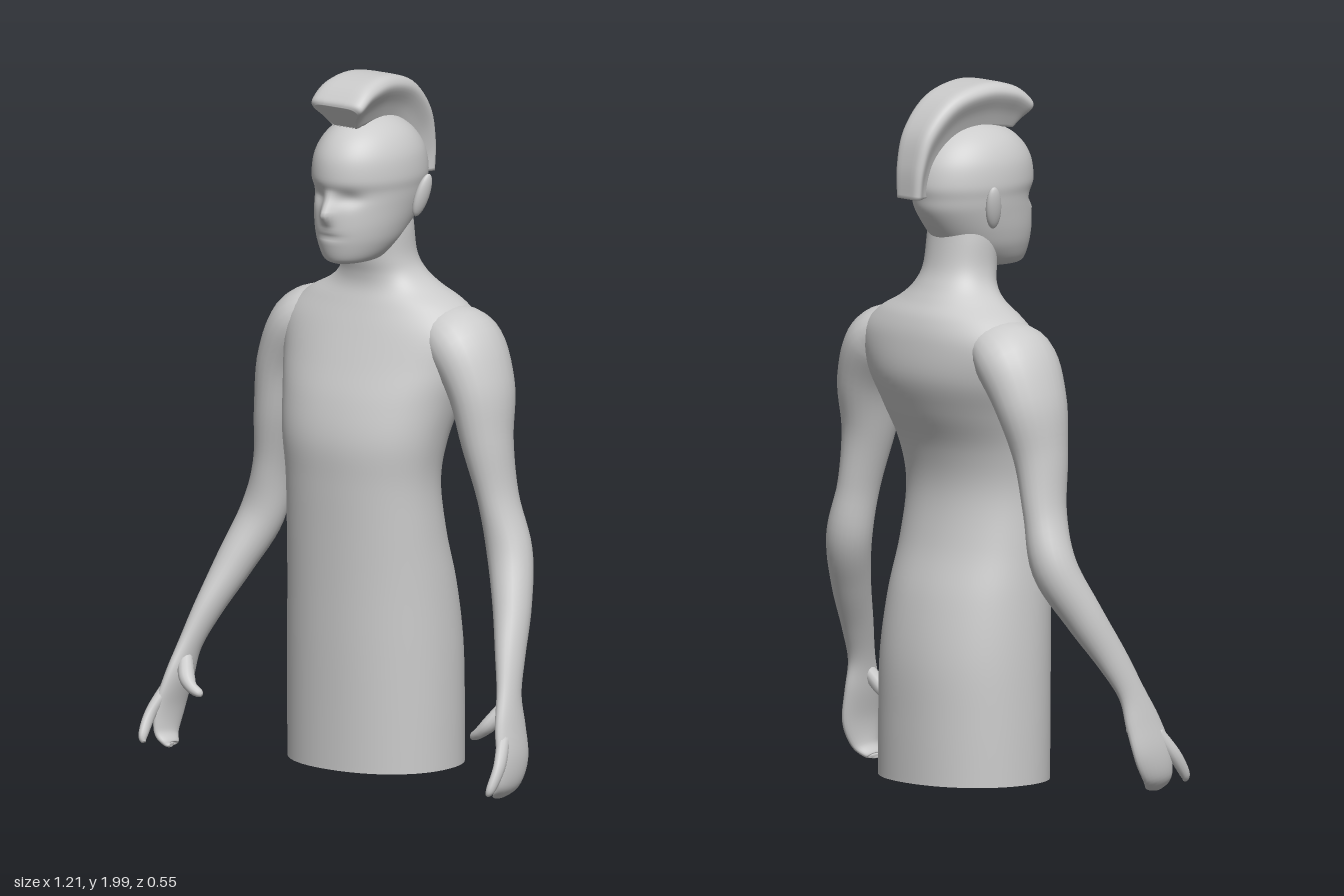
import * as THREE from 'three';

const mat = new THREE.MeshStandardMaterial({ color: 0xcccccc, side: THREE.DoubleSide });
const V = (x, y, z) => new THREE.Vector3(x, y, z);

// Catmull-Rom interpolation of rows of numbers
function refine(rows, n) {
  const out = [];
  const at = i => rows[Math.max(0, Math.min(rows.length - 1, i))];
  for (let i = 0; i < rows.length - 1; i++)
    for (let k = 0; k < n; k++) {
      const t = k / n;
      out.push(rows[i].map((b, c) => {
        const a = at(i - 1)[c], d = at(i + 1)[c], e = at(i + 2)[c];
        return b + 0.5 * t * (d - a + t * (2 * a - 5 * b + 4 * d - e + t * (3 * (b - d) + e - a)));
      }));
    }
  out.push(rows[rows.length - 1]);
  return out;
}

// Skin over closed rings, with optional caps at start and end
function loft(name, rings, capStart, capEnd) {
  const pts = rings.flat(), n = rings[0].length, idx = [];
  for (let i = 0; i < rings.length - 1; i++)
    for (let j = 0; j < n; j++) {
      const a = i * n + j, b = i * n + (j + 1) % n, c = a + n, d = b + n;
      idx.push(a, c, b, b, c, d);
    }
  const cap = (r, flip) => {
    const centre = rings[r].reduce((s, p) => s.add(p), V(0, 0, 0)).divideScalar(n);
    const m = pts.push(centre) - 1;
    for (let j = 0; j < n; j++) {
      const a = r * n + j, b = r * n + (j + 1) % n;
      flip ? idx.push(m, a, b) : idx.push(m, b, a);
    }
  };
  if (capStart) cap(0, true);
  if (capEnd) cap(rings.length - 1, false);
  const g = new THREE.BufferGeometry().setFromPoints(pts);
  g.setIndex(idx);
  g.computeVertexNormals();
  const mesh = new THREE.Mesh(g, mat);
  mesh.name = name;
  return mesh;
}

// Horizontal oval rings from rows of [y, half width, front z, back z]
function ovals(rows, seg, steps, power = 1) {
  const p = v => Math.sign(v) * Math.abs(v) ** power;
  return refine(rows, steps).map(([y, w, f, b]) => Array.from({ length: seg }, (_, j) => {
    const t = j / seg * Math.PI * 2;
    return V(w * p(Math.cos(t)), y, (f + b) / 2 + (f - b) / 2 * p(Math.sin(t)));
  }));
}

// Tapering limb along rows of [x, y, z, radius front to back, radius across]
function limb(name, rows, seg = 24) {
  const r = refine(rows, 6);
  const rings = r.map(([x, y, z, ra, rb], i) => {
    const p = r[Math.max(0, i - 1)], q = r[Math.min(r.length - 1, i + 1)];
    const T = V(q[0] - p[0], q[1] - p[1], q[2] - p[2]).normalize();
    const A = V(0, 0, 1).addScaledVector(T, -T.z).normalize();
    const B = T.clone().cross(A);
    return Array.from({ length: seg }, (_, j) => {
      const t = j / seg * Math.PI * 2;
      return V(x, y, z).addScaledVector(B, rb * Math.cos(t)).addScaledVector(A, ra * Math.sin(t));
    });
  });
  return loft(name, rings, true, true);
}

// Arm with hand; reach swings the forearm forward
function arm(side, reach) {
  const g = new THREE.Group();
  g.name = side > 0 ? 'leftArm' : 'rightArm';
  const pose = rows => rows.map(([x, y, z, a, b]) => {
    const k = Math.max(0, Math.min(1, (0.72 - y) / 0.65));
    return [side * x, y + 0.2 * reach * k, z + reach * k, a, b];
  });
  g.add(limb('armAndPalm', pose([
    [0.17, 1.30, -0.11, 0.09, 0.05], [0.27, 1.25, -0.105, 0.128, 0.093],
    [0.34, 1.13, -0.10, 0.115, 0.083], [0.372, 0.98, -0.09, 0.085, 0.067],
    [0.403, 0.82, -0.10, 0.067, 0.053], [0.44, 0.67, -0.105, 0.066, 0.064],
    [0.485, 0.53, -0.06, 0.058, 0.054], [0.522, 0.4, -0.005, 0.049, 0.038],
    [0.546, 0.3, 0.03, 0.044, 0.028], [0.562, 0.21, 0.045, 0.06, 0.026],
    [0.578, 0.12, 0.055, 0.066, 0.022], [0.575, 0.05, 0.07, 0.05, 0.018],
    [0.552, 0.018, 0.08, 0.032, 0.012], [0.545, 0.014, 0.08, 0.012, 0.005]])));
  g.add(limb('indexFinger', pose([
    [0.57, 0.18, 0.085, 0.02, 0.018], [0.588, 0.11, 0.125, 0.02, 0.016],
    [0.585, 0.05, 0.16, 0.015, 0.013], [0.577, 0.03, 0.167, 0.006, 0.006]]), 12));
  g.add(limb('thumb', pose([
    [0.55, 0.27, 0.045, 0.02, 0.02], [0.515, 0.215, 0.075, 0.025, 0.022],
    [0.487, 0.188, 0.085, 0.018, 0.017], [0.46, 0.172, 0.08, 0.014, 0.012],
    [0.451, 0.168, 0.078, 0.005, 0.005]]), 12));
  return g;
}

function head() {
  const rings = ovals([
    [1.472, 0.03, 0.115, 0.01], [1.485, 0.072, 0.142, -0.05], [1.53, 0.103, 0.157, -0.12],
    [1.58, 0.12, 0.163, -0.165], [1.64, 0.132, 0.16, -0.205], [1.68, 0.138, 0.156, -0.216],
    [1.72, 0.143, 0.165, -0.222], [1.78, 0.135, 0.156, -0.208], [1.83, 0.11, 0.123, -0.172],
    [1.865, 0.072, 0.07, -0.12], [1.882, 0.03, 0.0, -0.06], [1.885, 0.005, -0.025, -0.035]], 96, 6);
  const bell = (v, w) => Math.exp(-((v / w) ** 2));
  // Nose ridge, eye hollows and mouth crease
  for (const p of rings.flat()) {
    if (p.z < 0.05) continue;
    const ridge = p.y > 1.62 ? Math.max(0, (1.69 - p.y) / 0.07) : Math.max(0, 1 - (1.62 - p.y) / 0.035);
    p.z += 0.032 * ridge * bell(p.x, 0.02)
      - 0.014 * bell(Math.abs(p.x) - 0.055, 0.035) * bell(p.y - 1.665, 0.022)
      - 0.006 * bell(p.x, 0.04) * bell(p.y - 1.555, 0.008);
  }
  return loft('head', rings, true, true);
}

// Hair crest: rows of [inner z, inner y, outer z, outer y, half width]
function crest() {
  const rows = refine([
    [0.088, 1.862, 0.136, 1.925, 0.075], [0.085, 1.86, 0.128, 1.945, 0.09],
    [0.05, 1.865, 0.07, 1.985, 0.091], [-0.03, 1.87, -0.03, 1.999, 0.084],
    [-0.11, 1.85, -0.15, 1.965, 0.073], [-0.18, 1.785, -0.235, 1.88, 0.062],
    [-0.21, 1.72, -0.267, 1.78, 0.053], [-0.212, 1.685, -0.272, 1.685, 0.046]], 6);
  const half = refine([[0, 0.48], [0.35, 0.7], [0.7, 1], [0.88, 0.96], [0.98, 0.75], [1, 0.4]], 4);
  const section = [...half, ...half.map(([t, u]) => [t, -u]).reverse()];
  const rings = rows.map(([iz, iy, oz, oy, w]) =>
    section.map(([t, u]) => V(u * w, iy + (oy - iy) * t, iz + (oz - iz) * t)));
  return loft('hairCrest', rings, true, true);
}

export function createModel() {
  const model = new THREE.Group();
  model.name = 'upperBody';

  // Torso and neck, open at the bottom
  model.add(loft('torsoAndNeck', ovals([
    [0.03, 0.26, 0.16, -0.272], [0.2, 0.26, 0.162, -0.272], [0.38, 0.257, 0.165, -0.268],
    [0.55, 0.249, 0.167, -0.24], [0.7, 0.24, 0.17, -0.195], [0.85, 0.237, 0.174, -0.17],
    [0.97, 0.255, 0.175, -0.188], [1.08, 0.28, 0.15, -0.235], [1.18, 0.31, 0.11, -0.268],
    [1.28, 0.325, 0.066, -0.264], [1.345, 0.26, 0.036, -0.245], [1.39, 0.175, 0.018, -0.215],
    [1.43, 0.128, 0.016, -0.19], [1.48, 0.108, 0.025, -0.168], [1.56, 0.105, 0.03, -0.155],
    [1.62, 0.1, 0.03, -0.15]], 64, 6, 0.93), false, false));

  model.add(head(), crest());
  for (const s of [1, -1]) {
    const ear = new THREE.Mesh(new THREE.SphereGeometry(1, 20, 14), mat);
    ear.name = s > 0 ? 'leftEar' : 'rightEar';
    ear.scale.set(0.016, 0.064, 0.026);
    ear.position.set(s * 0.15, 1.658, -0.075);
    ear.rotation.set(-0.2, 0, -s * 0.24);
    model.add(ear);
  }
  model.add(arm(1, 0), arm(-1, 0.1));
  return model;
}
